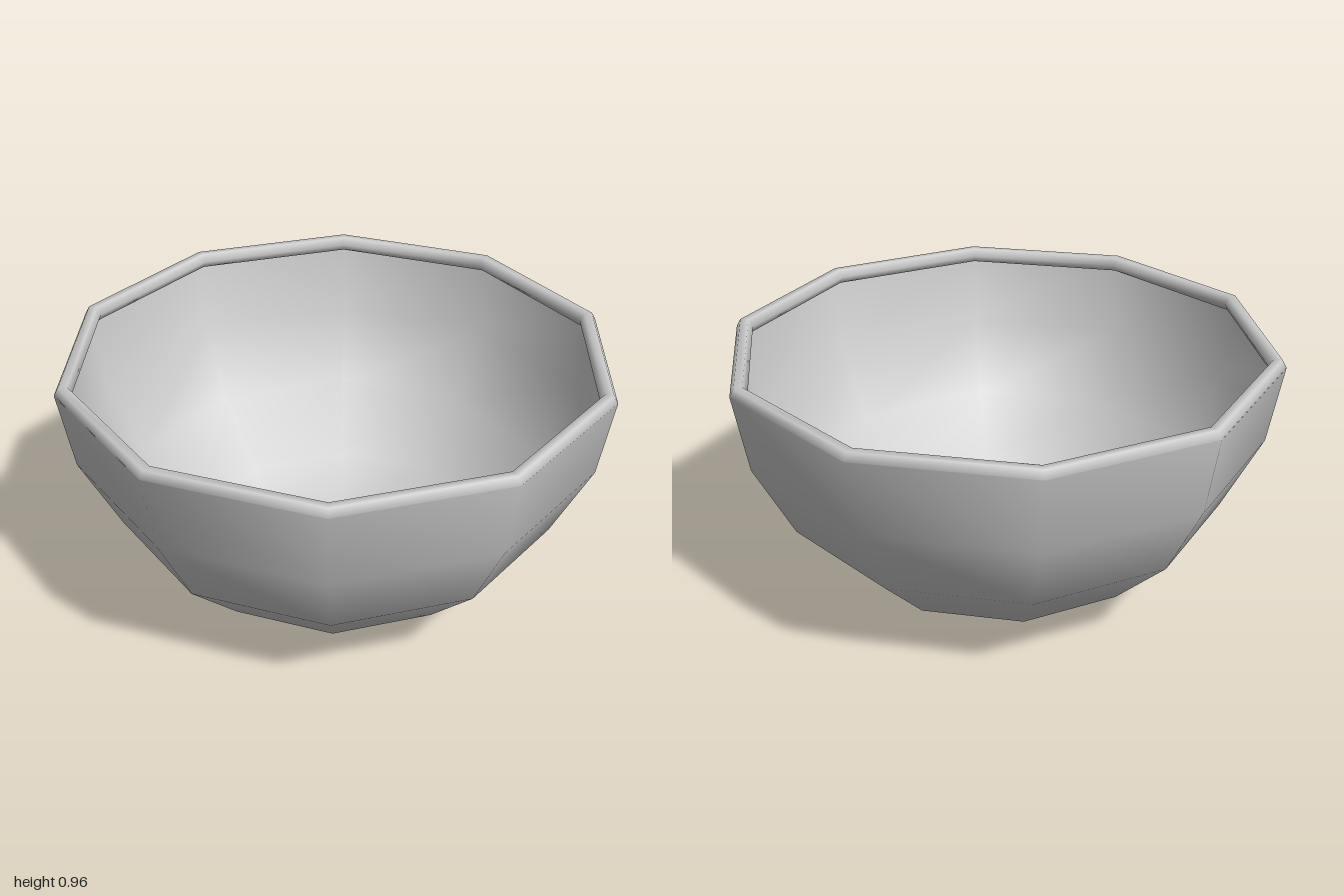
import * as THREE from 'three';

export function createModel() {
  const group = new THREE.Group();
  group.name = 'bowl';
  const material = new THREE.MeshStandardMaterial({ color: 0xcccccc, side: THREE.DoubleSide });

  // Thin ten-sided wall with corners on the x axis and a flat base
  const profile = [
    [0, 0], [0.309, 0.005], [0.588, 0.15], [0.809, 0.37], [0.951, 0.65], [1, 0.937],
  ].map(([r, y]) => new THREE.Vector2(r, y));
  const wall = new THREE.Mesh(new THREE.LatheGeometry(profile, 10, Math.PI / 2), material);
  wall.name = 'bowlWall';

  // Tubular rim that overhangs the inside of the wall
  const rim = new THREE.Mesh(new THREE.TorusGeometry(0.969, 0.031, 6, 10), material);
  rim.name = 'rim';
  rim.rotation.x = Math.PI / 2;
  rim.position.y = 0.938;

  group.add(wall, rim);
  return group;
}
